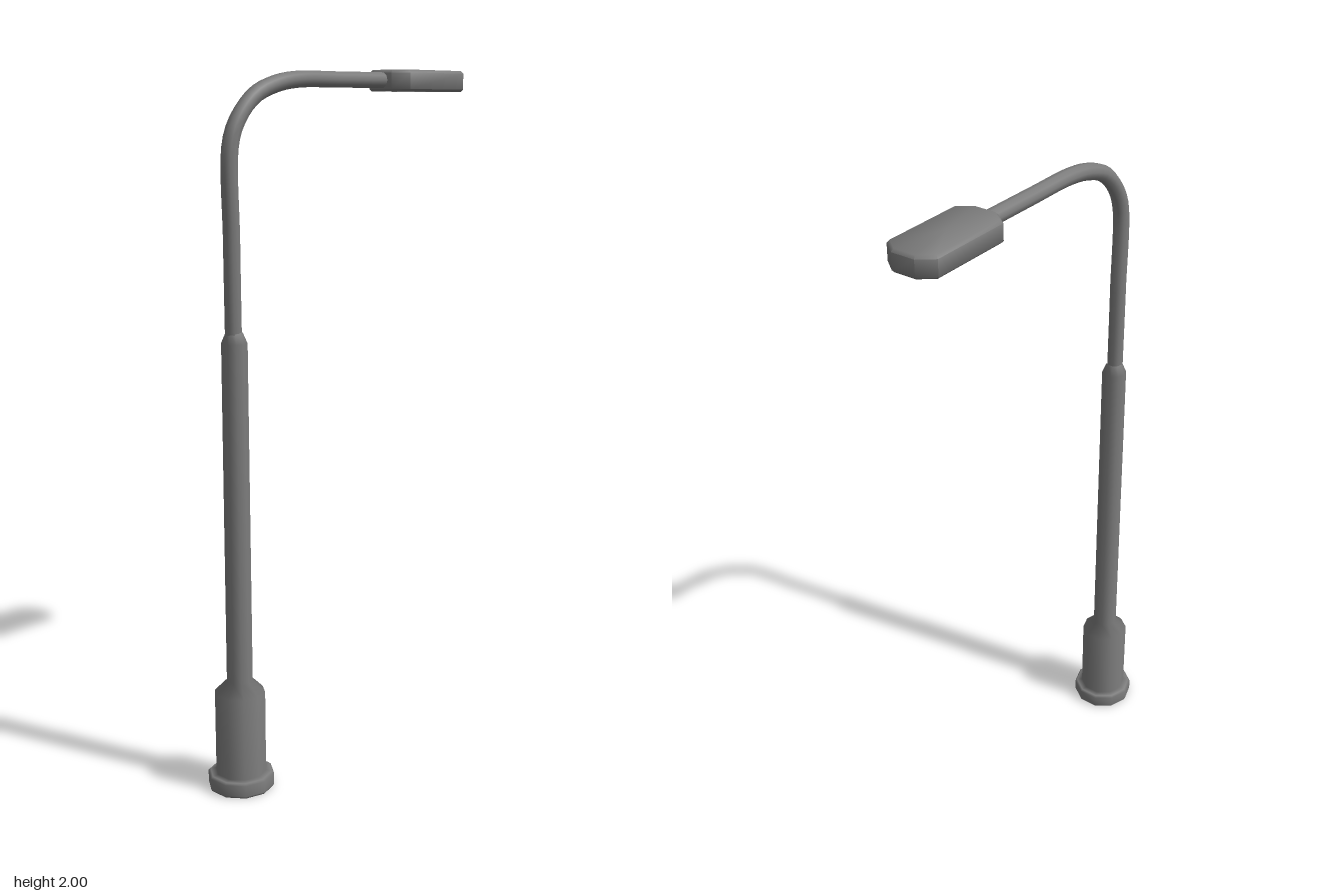
import * as THREE from 'three';
import { toCreasedNormals } from 'three/addons/utils/BufferGeometryUtils.js';

const grey = new THREE.MeshStandardMaterial({ color: 0x7c7c7c });
grey.name = 'grey metal';
const cream = new THREE.MeshStandardMaterial({ color: 0xe0d6a8 });
cream.name = 'cream light';

const POLE_Z = 0.405;
const HEAD = { x: 0.012, z: -0.342, halfW: 0.077, halfL: 0.158 };

function addMesh(group, name, geometry, material) {
  const mesh = new THREE.Mesh(geometry, material);
  mesh.name = name;
  group.add(mesh);
  return mesh;
}

// Octagonal outline of the lamp head, shrunk by an inset
function octagon(inset, y) {
  const w = HEAD.halfW - inset, l = HEAD.halfL - inset;
  const cx = 0.042 - inset * 0.5, cz = 0.034 - inset * 0.5;
  return [[w, l - cz], [w - cx, l], [cx - w, l], [-w, l - cz],
    [-w, cz - l], [cx - w, -l], [w - cx, -l], [w, cz - l]]
    .map(([x, z]) => new THREE.Vector3(x, y, z));
}

// Skin through octagon rings listed from top to bottom, closed at both ends
function ringSolid(rings) {
  const loops = rings.map(([inset, y]) => octagon(inset, y));
  const pos = [];
  const tri = (...pts) => pts.forEach((p) => pos.push(p.x, p.y, p.z));
  const first = loops[0], last = loops[loops.length - 1];
  const top = new THREE.Vector3(0, first[0].y, 0);
  const bottom = new THREE.Vector3(0, last[0].y, 0);
  for (let i = 0; i < 8; i++) {
    const j = (i + 1) % 8;
    tri(top, first[j], first[i]);
    for (let k = 0; k < loops.length - 1; k++) {
      const a = loops[k], b = loops[k + 1];
      tri(a[i], a[j], b[j]);
      tri(a[i], b[j], b[i]);
    }
    tri(bottom, last[i], last[j]);
  }
  const geo = new THREE.BufferGeometry();
  geo.setAttribute('position', new THREE.Float32BufferAttribute(pos, 3));
  // Make every side face outward along the ring order
  const p = geo.attributes.position;
  const a = new THREE.Vector3().fromBufferAttribute(p, 0);
  const b = new THREE.Vector3().fromBufferAttribute(p, 1);
  const c = new THREE.Vector3().fromBufferAttribute(p, 2);
  if (b.sub(a).cross(c.sub(a)).y < 0) {
    for (let i = 0; i < pos.length; i += 9) {
      for (let k = 0; k < 3; k++) [pos[i + 3 + k], pos[i + 6 + k]] = [pos[i + 6 + k], pos[i + 3 + k]];
    }
    geo.setAttribute('position', new THREE.Float32BufferAttribute(pos, 3));
  }
  return toCreasedNormals(geo, 0.9);
}

export function createModel() {
  const model = new THREE.Group();
  model.name = 'streetLamp';

  // Ten-sided foot, base sleeve and lower pole
  const profile = [[0, 0], [0.092, 0], [0.095, 0.006], [0.095, 0.038], [0.089, 0.044],
    [0.072, 0.046], [0.072, 0.285], [0.037, 0.32], [0.036, 1.28], [0.023, 1.31]]
    .map(([r, y]) => new THREE.Vector2(r, y));
  const pole = addMesh(model, 'pole', new THREE.LatheGeometry(profile, 10, Math.PI / 2), grey);
  pole.position.z = POLE_Z;

  // Upper pole bending into the arm
  const path = new THREE.CatmullRomCurve3([
    [0, 1.3, 0.408], [0, 1.55, 0.409], [0.001, 1.8, 0.409], [0.003, 1.865, 0.383],
    [0.006, 1.925, 0.325], [0.008, 1.955, 0.25], [0.009, 1.968, 0.17],
    [0.009, 1.97, 0], [0.009, 1.971, -0.2],
  ].map((p) => new THREE.Vector3(...p)));
  addMesh(model, 'arm', new THREE.TubeGeometry(path, 48, 0.023, 10), grey);

  // Lamp head with a recessed underside
  const head = new THREE.Group();
  head.name = 'lampHead';
  head.position.set(HEAD.x, 0, HEAD.z);
  model.add(head);
  addMesh(head, 'housing', ringSolid([[0.007, 2], [0, 1.992], [0, 1.946], [0.006, 1.94],
    [0.018, 1.94], [0.02, 1.953]]), grey);

  // Light strips in the recess
  for (const side of [-1, 1]) {
    const strip = addMesh(head, 'lightStrip', new THREE.BoxGeometry(0.034, 0.009, 0.24), cream);
    strip.position.set(side * 0.025, 1.9495, 0);
  }
  return model;
}
